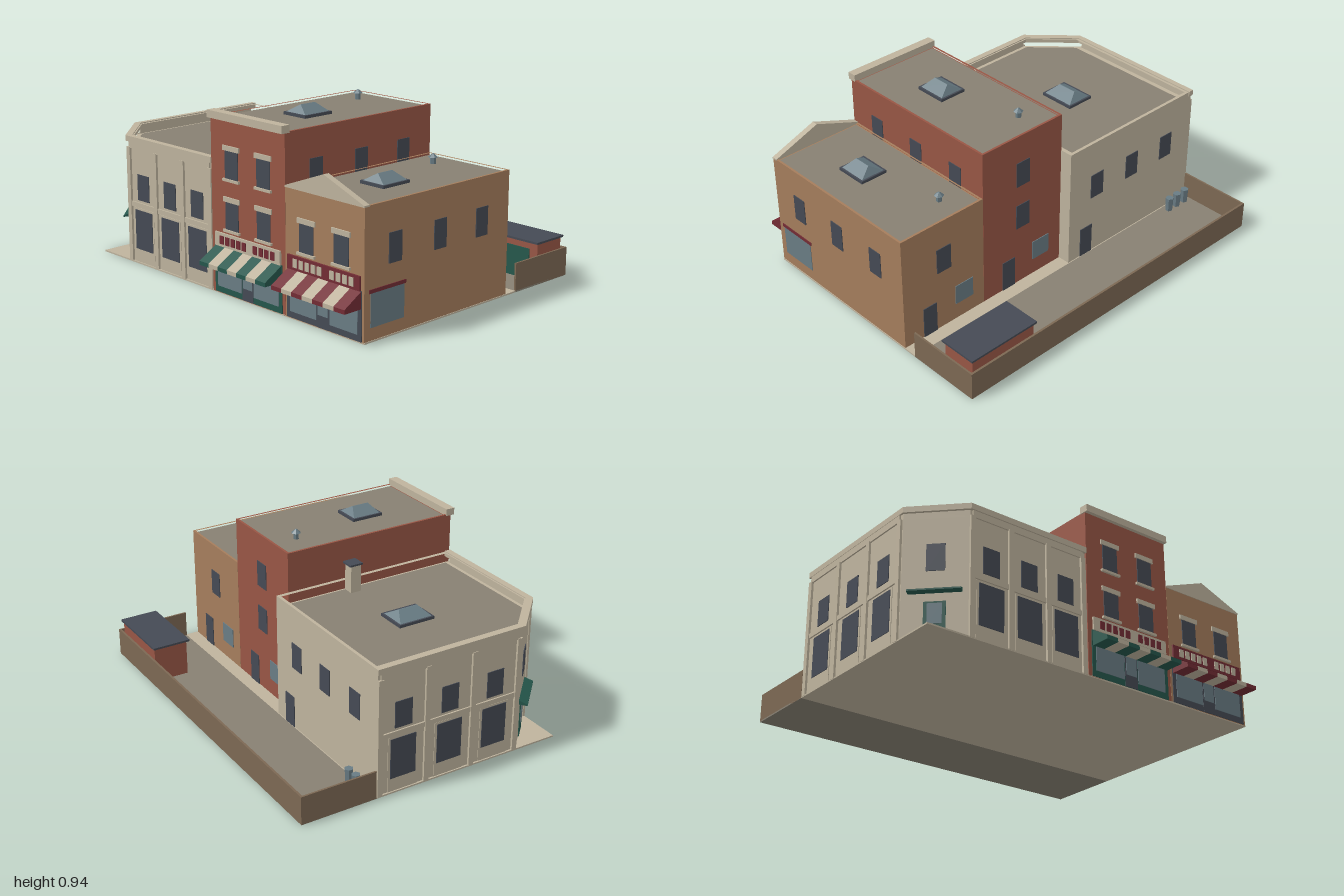
import * as THREE from 'three';

const mat = (name, color, side = THREE.FrontSide) => {
  const m = new THREE.MeshStandardMaterial({ color, side });
  m.name = name;
  return m;
};

export function createModel() {
  const cream = mat('cream stone', 0xbeb39d), red = mat('red brick', 0x985645);
  const tan = mat('tan brick', 0xa57d5c), slate = mat('dark slate', 0x454a54);
  const glass = mat('shop glass', 0x697c84), green = mat('dark green', 0x25574c);
  const maroon = mat('maroon', 0x732c34), roofing = mat('roof felt', 0x878072);
  const fenceMat = mat('yard wall brown', 0x7c6853);

  const model = new THREE.Group();
  model.name = 'streetBlock';

  const add = (parent, name, geo, m) => {
    const mesh = new THREE.Mesh(geo, m);
    mesh.name = name;
    parent.add(mesh);
    return mesh;
  };
  const group = (parent, name) => {
    const g = new THREE.Group();
    g.name = name;
    parent.add(g);
    return g;
  };
  // Box from its limits on each axis
  const box = (parent, name, m, x0, x1, y0, y1, z0, z1) => add(parent, name,
    new THREE.BoxGeometry(x1 - x0, y1 - y0, z1 - z0)
      .translate((x0 + x1) / 2, (y0 + y1) / 2, (z0 + z1) / 2), m);
  // Wall frame: local x runs along the wall, local z points out of it
  const facade = (parent, name, x, z, angle) => {
    const g = group(parent, name);
    g.position.set(x, 0, z);
    g.rotation.y = angle;
    return g;
  };
  const panel = (f, name, m, u0, u1, y0, y1, d = 0.004) => box(f, name, m, u0, u1, y0, y1, 0, d);
  const windowAt = (f, u, y0, y1, w = 0.09, m = slate) => panel(f, 'window', m, u - w / 2, u + w / 2, y0, y1);
  // Upright extrusion of a plan given as [x, z] points
  const plan = (pts, hole) => {
    const v = a => a.map(([x, z]) => new THREE.Vector2(x, -z));
    const s = new THREE.Shape(v(pts));
    if (hole) s.holes.push(new THREE.Path(v(hole)));
    return s;
  };
  const slab = (parent, name, m, shape, y0, y1) => add(parent, name,
    new THREE.ExtrudeGeometry(shape, { depth: y1 - y0, bevelEnabled: false })
      .rotateX(-Math.PI / 2).translate(0, y0, 0), m);
  // Prism along the wall from an [out, y] profile
  const prism = (f, name, m, pts, u0, u1) => add(f, name,
    new THREE.ExtrudeGeometry(new THREE.Shape(pts.map(p => new THREE.Vector2(...p))),
      { depth: u1 - u0, bevelEnabled: false }).rotateY(-Math.PI / 2).translate(u1, 0, 0), m);

  const skylight = (parent, x, z, y, w, d) => {
    const g = group(parent, 'skylight');
    g.position.set(x, y, z);
    box(g, 'skylightFrame', slate, -w / 2, w / 2, 0, 0.015, -d / 2, d / 2);
    let geo = new THREE.BoxGeometry(w - 0.02, 0.04, d - 0.02).translate(0, 0.035, 0);
    const p = geo.attributes.position;
    for (let i = 0; i < p.count; i++) {
      if (p.getY(i) > 0.04) p.setXYZ(i, p.getX(i) * 0.02, p.getY(i), p.getZ(i) * 0.6);
    }
    geo = geo.toNonIndexed();
    geo.computeVertexNormals();
    add(g, 'skylightGlass', geo, glass);
  };
  const vent = (parent, x, z, y) => {
    const g = group(parent, 'roofVent');
    g.position.set(x, y, z);
    add(g, 'ventPipe', new THREE.CylinderGeometry(0.015, 0.015, 0.035, 6).toNonIndexed().translate(0, 0.0175, 0), glass);
    add(g, 'ventCap', new THREE.CylinderGeometry(0.003, 0.026, 0.02, 6).toNonIndexed().translate(0, 0.043, 0), glass);
    g.children.forEach(c => c.geometry.computeVertexNormals());
  };

  // Ground and back yard
  slab(model, 'pavement', cream, plan([[-1, -0.385], [1, -0.385], [1, 0.69], [-1, 0.69]]), 0, 0.008);
  const yard = group(model, 'yard');
  box(yard, 'yardGround', roofing, -1, 1, 0, 0.008, -0.795, -0.385);
  box(yard, 'backYardWall', fenceMat, -1, 1, 0.001, 0.152, -0.797, -0.785);
  for (const s of [-1, 1]) box(yard, 'sideYardWall', fenceMat, s < 0 ? -1 : 0.99, s < 0 ? -0.99 : 1, 0.001, 0.152, -0.785, -0.385);
  box(yard, 'shedWalls', red, 0.58, 0.975, 0.008, 0.205, -0.775, -0.585);
  box(yard, 'shedRoof', slate, 0.565, 0.985, 0.205, 0.216, -0.785, -0.572);
  box(yard, 'shedDoor', green, 0.63, 0.925, 0.008, 0.17, -0.585, -0.58);
  for (const x of [-0.945, -0.882, -0.82]) {
    const g = new THREE.CylinderGeometry(0.023, 0.02, 0.08, 6).toNonIndexed().translate(x, 0.048, -0.425);
    g.computeVertexNormals();
    add(yard, 'bin', g, glass);
  }

  // Corner building with a cut-off front corner
  const corner = group(model, 'cornerBuilding');
  const outline = [[-0.99, -0.38], [-0.066, -0.38], [-0.066, 0.68], [-0.765, 0.68], [-0.99, 0.455]];
  const inner = [[-0.955, -0.363], [-0.088, -0.363], [-0.088, 0.652], [-0.753, 0.652], [-0.955, 0.45]];
  slab(corner, 'walls', cream, plan(outline), 0.004, 0.625);
  slab(corner, 'roof', roofing, plan(inner), 0.625, 0.632);
  slab(corner, 'parapet', cream, plan(outline, inner), 0.625, 0.685);
  slab(corner, 'cornice', cream, plan(
    [[-1, -0.385], [-0.97, -0.385], [-0.97, 0.445], [-0.755, 0.66], [-0.066, 0.66], [-0.066, 0.695], [-0.77, 0.695], [-1, 0.465]]), 0.66, 0.69);
  skylight(corner, -0.527, 0.103, 0.632, 0.165, 0.205);
  box(corner, 'chimney', cream, -0.145, -0.088, 0.62, 0.78, 0.015, 0.075);
  box(corner, 'chimneyCap', slate, -0.152, -0.08, 0.78, 0.79, 0.005, 0.08);
  const bays = (f, edges) => {
    edges.forEach(u => panel(f, 'pilaster', cream, u - 0.014, u + 0.014, 0.004, 0.63, 0.012));
    panel(f, 'stringCourse', cream, edges[0], edges[3], 0.31, 0.336, 0.008);
    panel(f, 'topCourse', cream, edges[0], edges[3], 0.625, 0.66, 0.008);
    for (let i = 0; i < 3; i++) {
      const u = (edges[i] + edges[i + 1]) / 2;
      windowAt(f, u, 0.35, 0.49, 0.097);
      panel(f, 'bayFrame', cream, u - 0.085, u + 0.085, 0.004, 0.306, 0.003);
      panel(f, 'bayWindow', slate, u - 0.072, u + 0.072, 0.08, 0.295, 0.006);
    }
  };
  bays(facade(corner, 'frontFacade', 0, 0.68, 0), [-0.755, -0.53, -0.305, -0.085]);
  bays(facade(corner, 'sideFacade', -0.99, 0, -Math.PI / 2), [-0.366, -0.1, 0.168, 0.436]);
  const cut = facade(corner, 'cutCorner', -0.8775, 0.5675, -Math.PI / 4);
  windowAt(cut, 0, 0.35, 0.49);
  panel(cut, 'cornerDoor', green, -0.052, 0.052, 0.008, 0.192, 0.005);
  panel(cut, 'cornerDoorGlass', glass, -0.035, 0.035, 0.08, 0.182, 0.008);
  prism(cut, 'cornerAwning', green, [[0, 0.235], [0.045, 0.232], [0.045, 0.24], [0, 0.258]], -0.126, 0.126);
  const cornerBack = facade(corner, 'backFacade', 0, -0.38, Math.PI);
  [0.265, 0.53, 0.8].forEach(u => windowAt(cornerBack, u, 0.35, 0.49));
  panel(cornerBack, 'backDoor', slate, 0.15, 0.235, 0.008, 0.18);

  // Brick shops: body, lipped roof, roof fittings, side and back openings
  const shop = (name, brick, x0, x1, top) => {
    const g = group(model, name);
    const r = (a, b, c, d) => [[a, c], [b, c], [b, d], [a, d]];
    const ring = r(x0 + 0.012, x1 - 0.012, -0.298, 0.66);
    slab(g, 'walls', brick, plan(r(x0, x1, -0.31, 0.69)), 0.004, top - 0.015);
    slab(g, 'parapet', brick, plan(r(x0, x1, -0.31, 0.69), ring), top - 0.015, top);
    slab(g, 'roof', roofing, plan(ring), top - 0.015, top - 0.009);
    const mid = (x0 + x1) / 2;
    skylight(g, mid, 0.292, top - 0.009, 0.155, 0.18);
    vent(g, mid - 0.107, -0.165, top - 0.009);
    const back = facade(g, 'backFacade', mid, -0.31, Math.PI);
    windowAt(back, 0, 0.35, 0.49);
    if (top > 0.8) windowAt(back, 0, 0.605, 0.745);
    panel(back, 'backDoor', slate, -0.14, -0.055, 0.008, 0.18);
    panel(back, 'backShopWindow', glass, 0.07, 0.185, 0.1, 0.21);
    const side = facade(g, 'sideFacade', x1, 0, Math.PI / 2);
    [-0.492, -0.188, 0.11].forEach(u => windowAt(side, u, top - 0.295, top - 0.15, 0.085));
    return { g, front: facade(g, 'frontFacade', mid, 0.69, 0), side };
  };
  // Front window with stone lintel and sill
  const dressedWindow = (f, u, y) => {
    windowAt(f, u, y, y + 0.145, 0.095);
    panel(f, 'lintel', cream, u - 0.06, u + 0.06, y + 0.143, y + 0.168, 0.008);
    panel(f, 'sill', cream, u - 0.06, u + 0.06, y - 0.01, y + 0.003, 0.012);
  };
  // Ground floor shopfront with sign band and striped awning
  const shopfront = (f, base, stripe, board, trim, split) => {
    panel(f, 'shopfront', base, -0.248, 0.248, 0.008, 0.25, 0.004);
    for (const s of [-1, 1]) {
      const u = s * 0.135;
      panel(f, 'displayWindow', glass, u - 0.09, u + 0.09, 0.04, 0.2, 0.007);
    }
    panel(f, 'shopDoor', slate, -0.04, 0.04, 0.008, 0.2, 0.006);
    panel(f, 'shopDoorGlass', glass, -0.034, 0.034, 0.07, 0.19, 0.008);
    panel(f, 'signBand', board, -0.24, 0.24, 0.25, 0.32, 0.01);
    for (let i = 0; i < 10; i++) {
      if (i === split) continue;
      const u = -0.185 + i * 0.0415;
      panel(f, 'signPanel', trim, u - 0.014, u + 0.014, 0.264, 0.306, 0.014);
    }
    const w = 0.488 / 7;
    for (let i = 0; i < 7; i++) {
      const u = -0.244 + i * w;
      prism(f, 'awningStripe', i % 2 ? cream : stripe,
        [[0, 0.165], [0.108, 0.165], [0.108, 0.186], [0, 0.25]], u, u + w);
    }
  };

  // Tall red shop
  const tall = shop('redShop', red, -0.065, 0.474, 0.898);
  for (const u of [-0.115, 0.118]) {
    dressedWindow(tall.front, u, 0.342);
    dressedWindow(tall.front, u, 0.6);
  }
  shopfront(tall.front, green, green, cream, maroon, 5);
  box(tall.g, 'cornice', cream, -0.07, 0.476, 0.892, 0.93, 0.66, 0.71);

  // Low tan shop with a gabled front
  const low = shop('tanShop', tan, 0.475, 0.997, 0.645);
  for (const u of [-0.115, 0.115]) dressedWindow(low.front, u, 0.342);
  shopfront(low.front, slate, maroon, maroon, cream, 5);
  const gable = new THREE.Shape([[-0.262, 0.64], [0.262, 0.64], [0.262, 0.648], [0, 0.746], [-0.262, 0.648]]
    .map(p => new THREE.Vector2(...p)));
  add(low.front, 'gable', new THREE.ExtrudeGeometry(gable, { depth: 0.034, bevelEnabled: false })
    .translate(0, 0, -0.03), cream);
  panel(low.side, 'sideShopWindow', glass, -0.65, -0.43, 0.07, 0.235, 0.003);
  panel(low.side, 'sideShopTrim', maroon, -0.66, -0.42, 0.234, 0.252, 0.004);

  return model;
}
